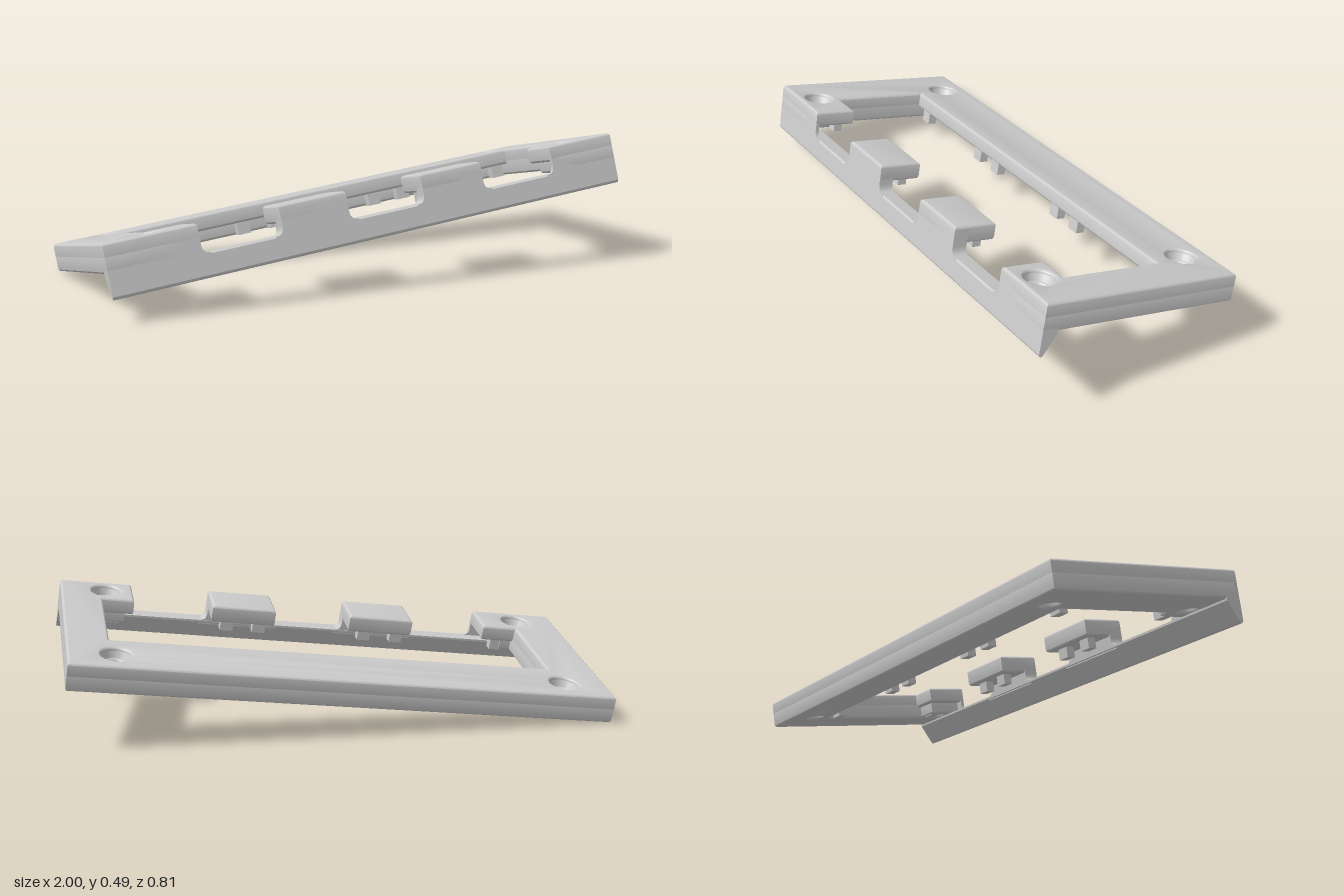
import * as THREE from 'three';
import { toCreasedNormals } from 'three/addons/utils/BufferGeometryUtils.js';

const material = new THREE.MeshStandardMaterial({ color: 0xcccccc, side: THREE.DoubleSide });

// Main dimensions in the bezel's own flat frame: top face at y = 0, front at +z
const HX = 0.995, HZ = 0.385;
const THICK = 0.105, BEVEL = 0.012;
const WIN_L = -0.80, WIN_R = 0.843;
const TAB_BACK = 0.222;
const HOLES = [[-0.826, -0.28], [0.826, -0.28], [-0.826, 0.303], [0.826, 0.303]];
const SINK_R = 0.054, BORE_R = 0.034;
const CLIP_X = [-0.742, -0.319, -0.188, 0.234, 0.36, 0.798];
const MID_TABS = [[-0.37, -0.116], [0.18, 0.426]];

function createPart(name, geometry) {
  const mesh = new THREE.Mesh(toCreasedNormals(geometry, 0.25), material);
  mesh.name = name;
  return mesh;
}

// Horizontal slab with rounded edges from an outline of [x, z] corners
function slab(outline, bottom, top, holes = [], holeRadius = 0) {
  const shape = new THREE.Shape(outline.map(([x, z]) => new THREE.Vector2(x, -z)));
  for (const [x, z] of holes) {
    const path = new THREE.Path();
    path.absarc(x, -z, holeRadius, 0, Math.PI * 2, true);
    shape.holes.push(path);
  }
  const geo = new THREE.ExtrudeGeometry(shape, {
    depth: top - bottom - 2 * BEVEL, bevelEnabled: true, bevelThickness: BEVEL,
    bevelSize: BEVEL, bevelOffset: -BEVEL, bevelSegments: 4, curveSegments: 20,
  });
  return geo.rotateX(-Math.PI / 2).translate(0, bottom + BEVEL, 0);
}

// C-shaped frame outline: back rail, two end rails and two front posts
function frameOutline(postL, postR, postBack, windowBack) {
  return [
    [-HX, HZ], [postL, HZ], [postL, postBack], [WIN_L, postBack], [WIN_L, windowBack],
    [WIN_R, windowBack], [WIN_R, postBack], [postR, postBack], [postR, HZ],
    [HX, HZ], [HX, -HZ], [-HX, -HZ],
  ];
}

// Front wall section, tapering to a thin rounded lower lip
function wall(x0, x1, top) {
  const profile = [
    [0.385, top - 0.006], [0.385, -0.18], [0.382, -0.187], [0.376, -0.19], [0.37, -0.186],
    [0.328, -0.112], [0.328, top], [0.379, top],
  ].map(([z, y]) => new THREE.Vector2(-z, y));
  return new THREE.ExtrudeGeometry(new THREE.Shape(profile), { depth: x1 - x0, bevelEnabled: false })
    .rotateY(Math.PI / 2).translate(x0, 0, 0);
}

// Upright piece joining a tab to the front wall, with filleted feet
function riser(x0, x1, depth, filletL, filletR) {
  const r = 0.03, foot = -THICK, low = -0.12, top = -0.012;
  const s = new THREE.Shape();
  const left = filletL ? x0 - r : x0, right = filletR ? x1 + r : x1;
  s.moveTo(left, low);
  s.lineTo(right, low);
  s.lineTo(right, foot);
  if (filletR) s.quadraticCurveTo(x1, foot, x1, foot + r);
  s.lineTo(x1, top);
  s.lineTo(x0, top);
  if (filletL) {
    s.lineTo(x0, foot + r);
    s.quadraticCurveTo(x0, foot, left, foot);
  }
  s.closePath();
  return new THREE.ExtrudeGeometry(s, { depth, bevelEnabled: false, curveSegments: 8 })
    .translate(0, 0, HZ - depth);
}

export function createModel() {
  const bezel = new THREE.Group();
  bezel.name = 'bezel';

  // Frame: upper layer overhangs the window at the back, lower layer is set back
  bezel.add(createPart('frameTop',
    slab(frameOutline(-0.667, 0.725, TAB_BACK, -0.157), -0.06, 0, HOLES, SINK_R)));
  bezel.add(createPart('frameBase',
    slab(frameOutline(-0.755, 0.755, 0.24, -0.22), -THICK, -0.036, HOLES, BORE_R)));

  // Countersunk screw seats
  const seat = [[SINK_R + 0.003, -0.006], [0.04, -0.046]].map(([r, y]) => new THREE.Vector2(r, y));
  for (const [x, z] of HOLES) {
    bezel.add(createPart('screwSeat', new THREE.LatheGeometry(seat, 32).translate(x, 0, z)));
  }

  // Front wall, blended into the end rails at both corners
  bezel.add(createPart('frontWall', wall(-HX, HX, -0.104)));
  bezel.add(createPart('frontCorner', wall(-HX, -0.88, -0.085)));
  bezel.add(createPart('frontCorner', wall(0.88, HX, -0.085)));

  // Post fronts and the two middle tabs
  bezel.add(createPart('postFront', riser(-HX, -0.667, 0.014, false, true)));
  bezel.add(createPart('postFront', riser(0.725, HX, 0.014, true, false)));
  for (const [x0, x1] of MID_TABS) {
    const outline = [[x0, HZ], [x1, HZ], [x1, TAB_BACK], [x0, TAB_BACK]];
    bezel.add(createPart('tab', slab(outline, -0.066, 0)));
    bezel.add(createPart('tabRiser', riser(x0, x1, 0.055, true, true)));
  }

  // Retaining clips hanging along both long sides of the window
  for (const x of CLIP_X) {
    for (const z of [-0.182, 0.262]) {
      bezel.add(createPart('clip', new THREE.BoxGeometry(0.05, 0.06, 0.034).translate(x, -0.076, z)));
    }
  }

  // Tilt the whole bezel
  const along = new THREE.Vector3(0.9935, 0.113, -0.01).normalize();
  const forward = new THREE.Vector3(-0.016, 0.225, 0.974);
  const up = new THREE.Vector3().crossVectors(forward, along).normalize();
  forward.crossVectors(along, up);
  bezel.quaternion.setFromRotationMatrix(new THREE.Matrix4().makeBasis(along, up, forward));

  // Centre it and stand it on the ground
  const model = new THREE.Group();
  model.name = 'tiltedBezel';
  model.add(bezel);
  const box = new THREE.Box3().setFromObject(model, true);
  const centre = box.getCenter(new THREE.Vector3());
  bezel.position.set(-centre.x, -box.min.y, -centre.z);
  return model;
}
